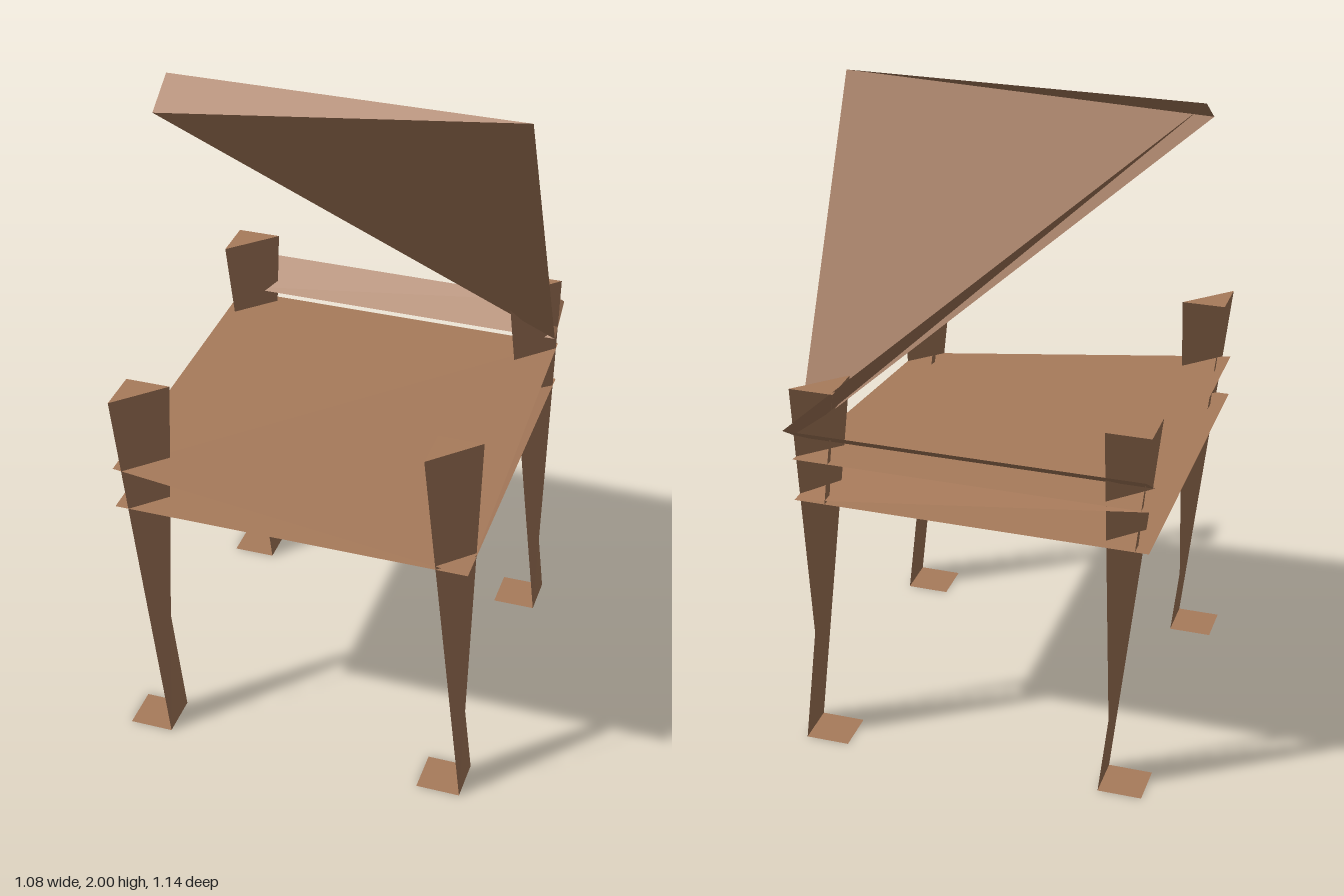
import * as THREE from 'three';

const wood = new THREE.MeshStandardMaterial({
  color: 0xa87b5b, flatShading: true, side: THREE.DoubleSide,
});

// Folded-sheet block: half a top, a slanted front, a diagonal web and a full base
function foldedBlock(name, w, h, d, x, y, z) {
  const corner = (sx, sy, sz) => [sx * w / 2, sy * h / 2, sz * d / 2];
  const topFrontR = corner(-1, 1, 1), topBackR = corner(-1, 1, -1), topBackL = corner(1, 1, -1);
  const lowFrontL = corner(1, -1, 1), lowBackL = corner(1, -1, -1);
  const lowFrontR = corner(-1, -1, 1), lowBackR = corner(-1, -1, -1);
  const triangles = [
    [topFrontR, topBackL, topBackR],   // half top
    [topFrontR, lowFrontL, topBackL],  // slanted front
    [topBackR, lowFrontL, lowBackL],   // diagonal web
    [lowFrontR, lowBackR, lowBackL],   // base
    [lowFrontR, lowBackL, lowFrontL],
  ];
  const geometry = new THREE.BufferGeometry();
  geometry.setAttribute('position', new THREE.Float32BufferAttribute(triangles.flat(2), 3));
  geometry.computeVertexNormals();
  const mesh = new THREE.Mesh(geometry, wood);
  mesh.name = name;
  mesh.position.set(x, y, z);
  return mesh;
}

export function createModel() {
  const chair = new THREE.Group();
  chair.name = 'chair';
  const t = 0.135, width = 1.076;

  // Four legs, all folded the same way
  for (const [side, x] of [['Right', -0.47], ['Left', 0.47]]) {
    for (const [end, z] of [['front', 0.5], ['back', -0.442]]) {
      chair.add(foldedBlock(`${end}${side}Leg`, t, 1.21, t, x, 0.605, z));
    }
  }

  // Seat
  chair.add(foldedBlock('seat', width, t, width, 0, 0.913, 0.029));

  // Backrest, tipped forward
  const back = foldedBlock('backrest', width, width, t, 0, 1.514, -0.215);
  back.rotation.x = 0.585;
  chair.add(back);

  return chair;
}
